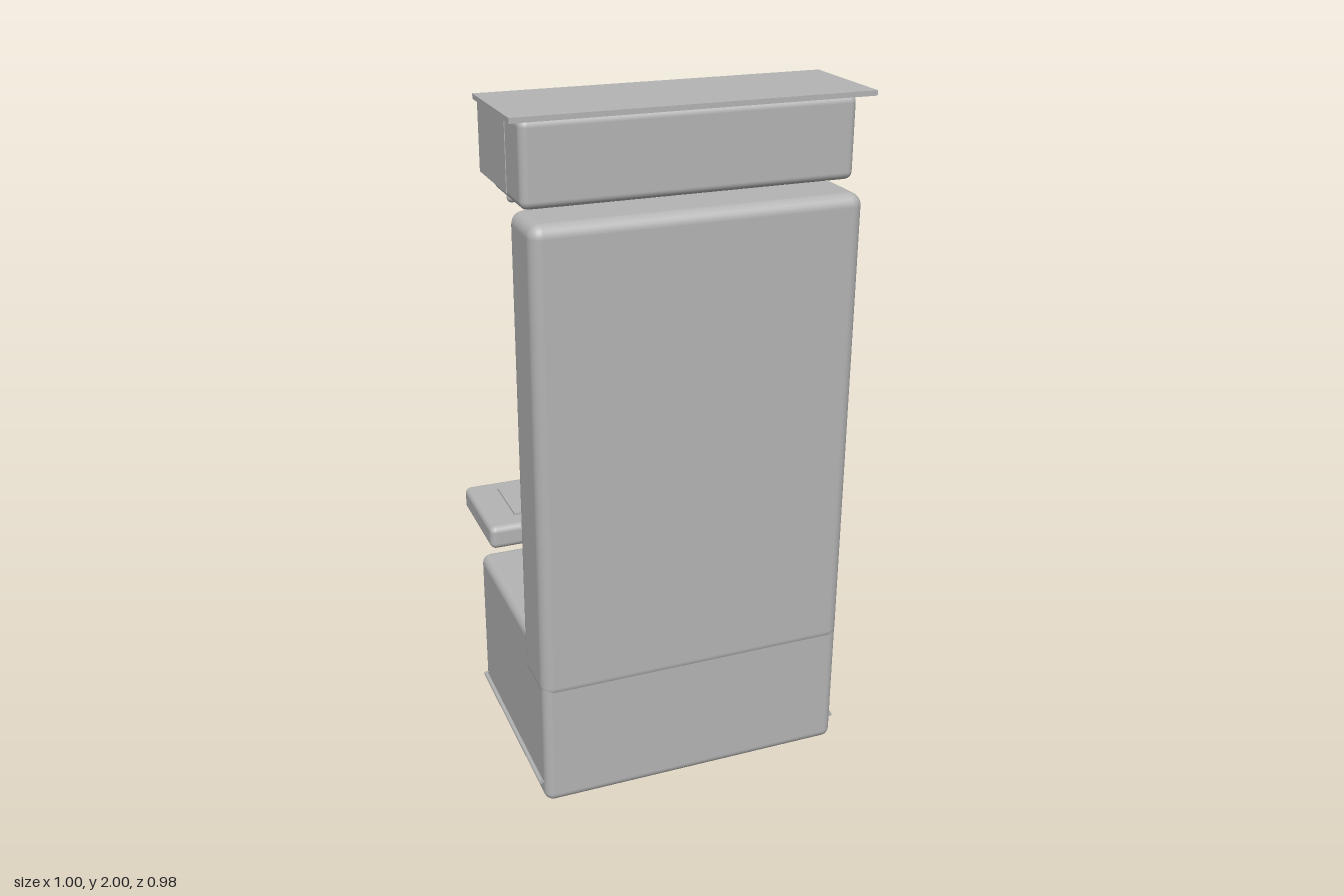
import * as THREE from 'three';
import { RoundedBoxGeometry } from 'three/addons/geometries/RoundedBoxGeometry.js';

const grey = new THREE.MeshStandardMaterial({ color: 0xb4b4b4 });
grey.name = 'plain grey';

export function createModel() {
  const model = new THREE.Group();
  model.name = 'prizeWheelMachine';

  const add = (name, geometry, x, y, z) => {
    const mesh = new THREE.Mesh(geometry, grey);
    mesh.name = name;
    mesh.position.set(x, y, z);
    model.add(mesh);
    return mesh;
  };
  // Boxes are given by their limits: half width, then y and z ranges
  const box = (name, hw, y0, y1, z0, z1, r = 0) => {
    const w = hw * 2, h = y1 - y0, d = z1 - z0;
    const g = r ? new RoundedBoxGeometry(w, h, d, 4, r) : new THREE.BoxGeometry(w, h, d);
    return add(name, g, 0, (y0 + y1) / 2, (z0 + z1) / 2);
  };

  // Cabinet
  box('base', 0.463, 0.005, 0.5, -0.17, 0.487, 0.028);
  box('uprightPanel', 0.465, 0.36, 1.735, 0.295, 0.49, 0.035);

  // Overhead sign box with its roof and side fins
  box('signBox', 0.465, 1.757, 1.986, 0.16, 0.422, 0.022);
  box('signRoof', 0.5, 1.986, 2, 0.123, 0.457);
  for (const s of [-1, 1]) {
    add('signFin', new THREE.BoxGeometry(0.004, 0.195, 0.255), s * 0.465, 1.872, 0.168);
  }

  // Row of bulbs under the sign
  for (let i = 0; i < 9; i++) {
    add('bulb', new THREE.SphereGeometry(0.014, 16, 12), (i - 4) * 0.103, 1.725, 0.152);
  }

  // Wheel, rim and pointer
  const disc = add('wheelDisc', new THREE.CylinderGeometry(0.43, 0.43, 0.01, 64), 0, 1.04, 0.291);
  disc.rotation.x = Math.PI / 2;
  add('wheelRim', new THREE.TorusGeometry(0.426, 0.021, 14, 72), 0, 1.04, 0.29);
  const pointer = add('pointer', new THREE.ConeGeometry(0.043, 0.105, 20), 0, 1.462, 0.225);
  pointer.rotation.x = Math.PI;

  // Control tray
  box('tray', 0.43, 0.505, 0.582, -0.488, -0.158, 0.02);
  box('trayInset', 0.333, 0.575, 0.588, -0.425, -0.225);

  // Coin door
  box('coinDoor', 0.08, 0.165, 0.372, -0.192, -0.16, 0.012);
  add('coinRing', new THREE.TorusGeometry(0.038, 0.01, 10, 32), 0, 0.315, -0.195);
  const button = add('coinButton', new THREE.CylinderGeometry(0.034, 0.034, 0.02, 32), 0, 0.315, -0.192);
  button.rotation.x = Math.PI / 2;
  box('coinReturn', 0.05, 0.182, 0.25, -0.203, -0.185, 0.006);

  // Thin trim rods round the foot
  const rod = (length) => new THREE.CylinderGeometry(0.007, 0.007, length, 10);
  for (const s of [-1, 1]) {
    add('sideTrim', rod(0.605), s * 0.47, 0.068, 0.158).rotation.x = Math.PI / 2;
  }
  add('backTrim', rod(0.9), 0, 0.068, -0.177).rotation.z = Math.PI / 2;

  return model;
}
